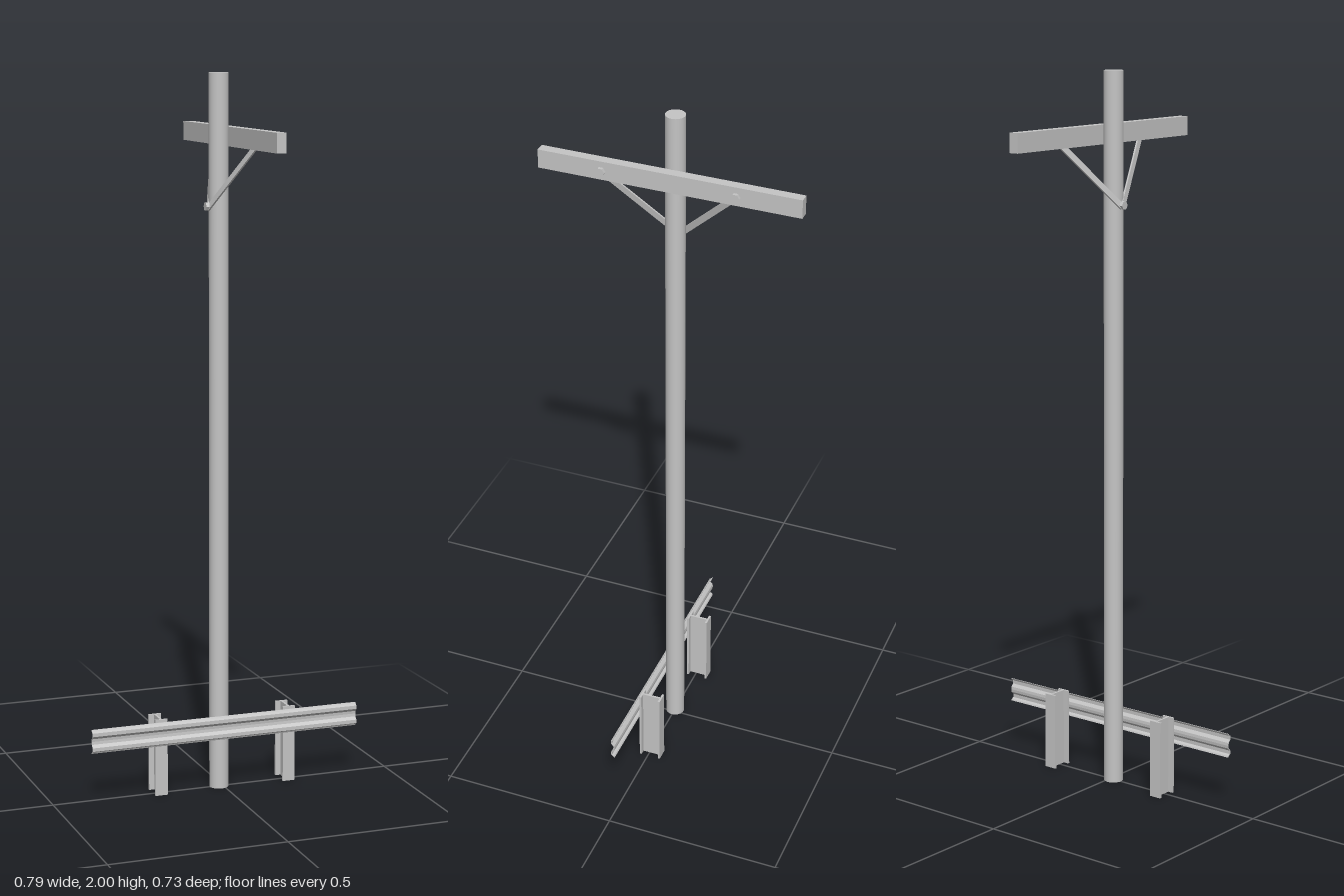
import * as THREE from 'three';

export function createModel() {
  const model = new THREE.Group();
  const grey = new THREE.MeshStandardMaterial({ color: 0xc4c4c4 });
  grey.name = 'galvanised grey';

  const add = (name, geometry, x = 0, y = 0, z = 0) => {
    const mesh = new THREE.Mesh(geometry, grey);
    mesh.name = name;
    mesh.position.set(x, y, z);
    model.add(mesh);
    return mesh;
  };

  // Pole and crossarm
  add('pole', new THREE.CylinderGeometry(0.027, 0.027, 2, 32), -0.012, 1, 0);
  add('crossarm', new THREE.BoxGeometry(0.027, 0.053, 0.726), 0.0275, 1.828, 0);

  // Hexagonal bolt heads, axis along x
  const bolt = (name, x, y, z) => {
    const hex = new THREE.CylinderGeometry(0.012, 0.012, 0.01, 6).toNonIndexed();
    hex.computeVertexNormals();
    hex.rotateZ(Math.PI / 2);
    add(name, hex, x, y, z);
  };
  bolt('poleBolt', -0.046, 1.64, 0);

  // Flat diagonal braces, from the back of the pole up to the crossarm
  for (const side of [-1, 1]) {
    bolt('crossarmBolt', 0.045, 1.827, side * 0.185);
    const start = new THREE.Vector3(-0.043, 1.635, 0);
    const end = new THREE.Vector3(0.036, 1.82, side * 0.18);
    const along = end.clone().sub(start);
    const length = along.length();
    along.normalize();
    const normal = new THREE.Vector3(1, 0, 0).addScaledVector(along, -along.x).normalize();
    const across = new THREE.Vector3().crossVectors(along, normal);
    const brace = add('brace', new THREE.BoxGeometry(0.005, length, 0.017));
    brace.position.copy(start).add(end).multiplyScalar(0.5);
    // basis order: thickness, length, width
    across.crossVectors(normal, along);
    brace.quaternion.setFromRotationMatrix(new THREE.Matrix4().makeBasis(normal, along, across));
  }

  // I-section guardrail posts
  for (const x of [-0.191, 0.191]) {
    const w = 0.018, t = 0.003, back = -0.038, front = 0.025, f = 0.006;
    const half = [[w, back], [w, back + f], [t, back + f], [t, front - f], [w, front - f], [w, front]];
    const outline = [...half, ...half.map(([a, z]) => [-a, z]).reverse()];
    const section = new THREE.Shape(outline.map(([a, z]) => new THREE.Vector2(a, -z)));
    const post = new THREE.ExtrudeGeometry(section, { depth: 0.22, bevelEnabled: false });
    post.rotateX(-Math.PI / 2);
    add('guardrailPost', post, x, 0, 0);
  }

  // Corrugated rail: a double-wave sheet, section points are [z, y]
  const wave = [
    [0.0255, 0.212], [0.0275, 0.208], [0.034, 0.204], [0.034, 0.194], [0.0265, 0.186],
    [0.0255, 0.178],
    [0.0265, 0.170], [0.034, 0.162], [0.034, 0.152], [0.0275, 0.148], [0.0255, 0.144],
  ];
  const sheet = [...wave, ...wave.map(([z, y]) => [z + 0.0025, y]).reverse()];
  const rail = new THREE.ExtrudeGeometry(
    new THREE.Shape(sheet.map(([z, y]) => new THREE.Vector2(z, y))),
    { depth: 0.79, bevelEnabled: false });
  rail.rotateY(-Math.PI / 2);
  add('guardrail', rail, 0.395, 0, 0);

  return model;
}
